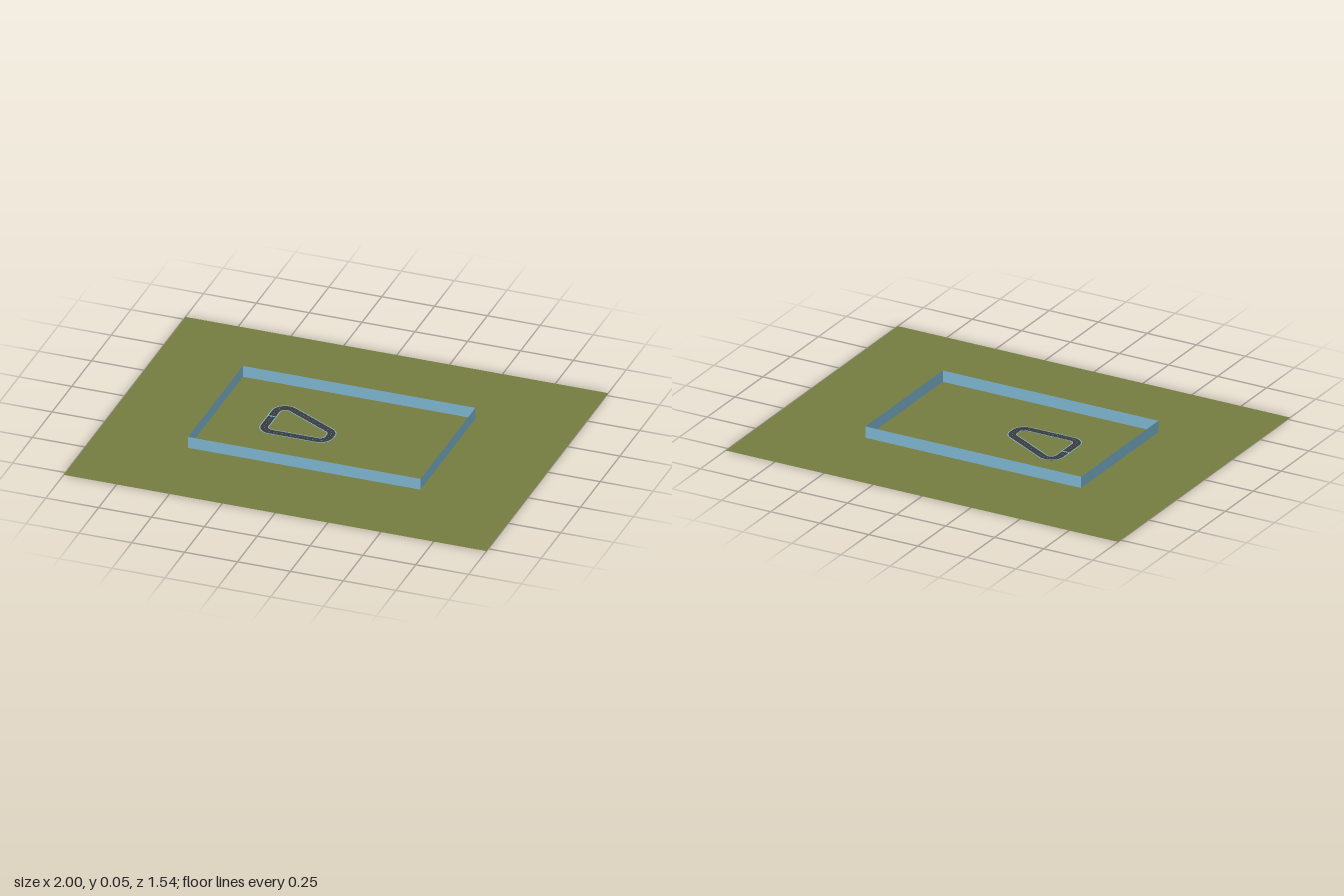
import * as THREE from 'three';

const material = (name, color) =>
  new THREE.MeshStandardMaterial({ name, color, side: THREE.DoubleSide });

// Rounded corners of the circuit: centre x, centre z, start and end angle
const slant = Math.atan2(0.219, 0.121);
const CORNERS = [
  [-0.059, 0.043, -Math.PI / 2, 0],
  [-0.059, 0.021, 0, slant],
  [-0.278, -0.1, slant, Math.PI],
  [-0.278, 0.043, Math.PI, Math.PI * 1.5],
];

// Closed outline of the circuit at a given corner radius
function outline(radius, Type = THREE.Shape) {
  const path = new Type();
  for (const [x, z, a, b] of CORNERS) path.absarc(x, -z, radius, a, b, false);
  path.closePath();
  return path;
}

// Flat band between two corner radii
function band(inner, outer, y) {
  const shape = outline(outer);
  shape.holes.push(outline(inner, THREE.Path));
  return new THREE.ShapeGeometry(shape, 10).rotateX(-Math.PI / 2).translate(0, y, 0);
}

export function createModel() {
  const model = new THREE.Group();
  const grass = material('grass green', 0x737c40);
  const blue = material('wall blue', 0x7ab0ca);
  const asphalt = material('asphalt grey', 0x3a3a3c);
  const paint = material('dash grey', 0x8c8c8c);

  function add(name, geometry, mat, parent = model) {
    const mesh = new THREE.Mesh(geometry, mat);
    mesh.name = name;
    parent.add(mesh);
    return mesh;
  }

  // Ground
  add('ground', new THREE.PlaneGeometry(2, 1.545).rotateX(-Math.PI / 2), grass);

  // Four thin walls around the arena
  const walls = new THREE.Group();
  walls.name = 'walls';
  model.add(walls);
  const height = 0.055, length = 1.1, depth = 0.695, cx = -0.02;
  for (const s of [-1, 1]) {
    const long = add(s > 0 ? 'frontWall' : 'backWall', new THREE.PlaneGeometry(length, height), blue, walls);
    long.position.set(cx, height / 2, s * depth / 2);
    if (s < 0) long.rotation.y = Math.PI;
    const short = add(s > 0 ? 'leftWall' : 'rightWall', new THREE.PlaneGeometry(depth, height), blue, walls);
    short.position.set(cx + s * length / 2, height / 2, 0);
    short.rotation.y = s * Math.PI / 2;
  }

  // Circuit: road with an edge line on each side
  const circuit = new THREE.Group();
  circuit.name = 'circuit';
  model.add(circuit);
  add('road', band(0.022, 0.064, 0.002), asphalt, circuit);
  add('outerEdgeLine', band(0.06, 0.065, 0.003), blue, circuit);
  add('innerEdgeLine', band(0.021, 0.026, 0.003), blue, circuit);

  // Start line across the left straight
  const start = add('startLine', new THREE.PlaneGeometry(0.042, 0.007).rotateX(-Math.PI / 2), blue, circuit);
  start.position.set(-0.321, 0.0035, -0.048);

  // Dashed centre line
  const middle = outline(0.043);
  const count = 44;
  for (let i = 0; i < count; i++) {
    const p = middle.getPointAt(i / count);
    const t = middle.getTangentAt(i / count);
    const dash = add('centreDash', new THREE.PlaneGeometry(0.009, 0.002).rotateX(-Math.PI / 2), paint, circuit);
    dash.position.set(p.x, 0.003, -p.y);
    dash.rotation.y = Math.atan2(t.y, t.x);
  }
  return model;
}
